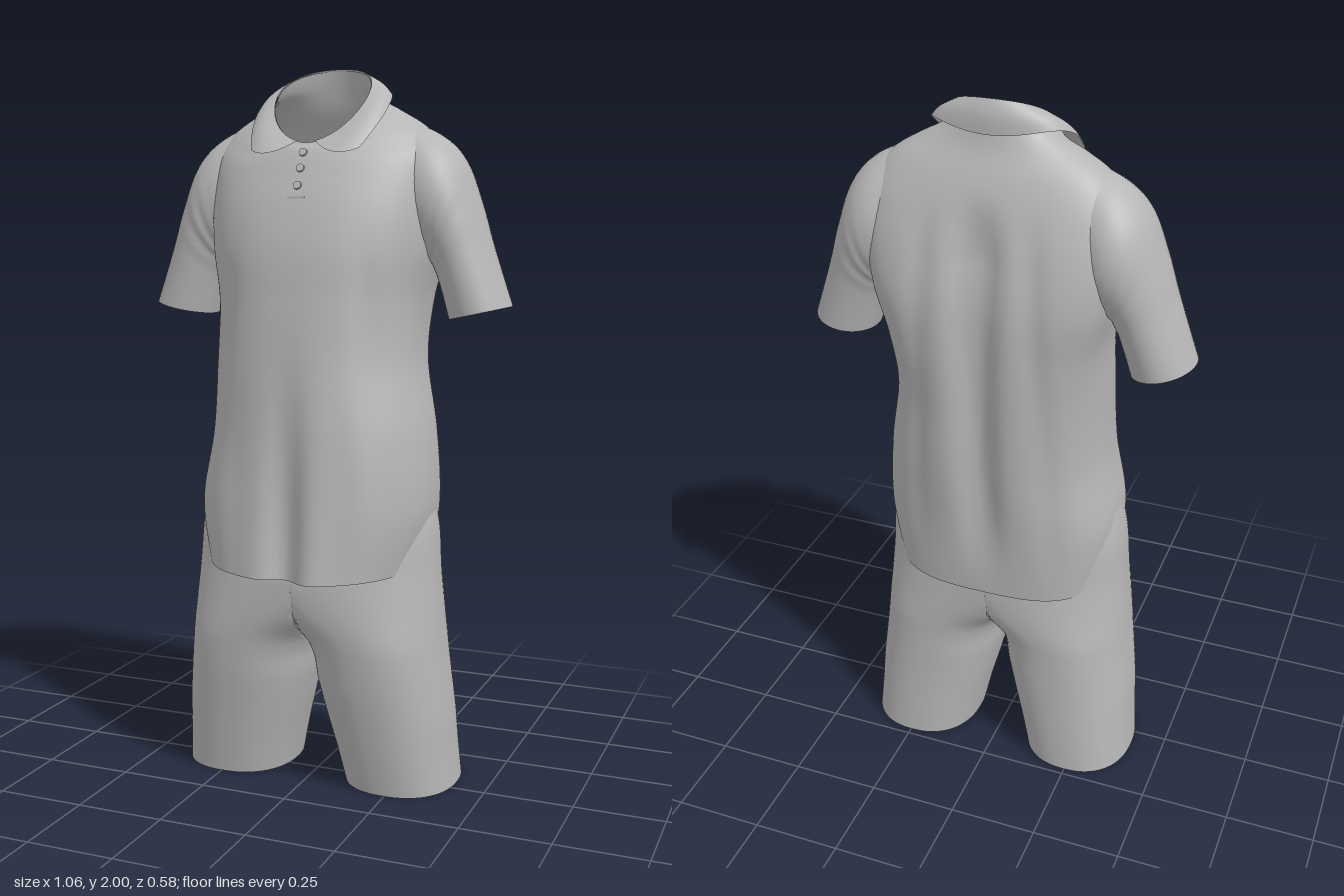
import * as THREE from 'three';
import { mergeGeometries, mergeVertices } from 'three/addons/utils/BufferGeometryUtils.js';

const cloth = new THREE.MeshStandardMaterial({ color: 0xb6b6b6, side: THREE.DoubleSide });
cloth.name = 'grey cloth';

// Smooth interpolation of section parameters, u in 0..1
function sample(sections, u) {
  const f = u * (sections.length - 1);
  const i = Math.min(Math.floor(f), sections.length - 2), t = f - i;
  const at = k => sections[Math.min(Math.max(k, 0), sections.length - 1)];
  return at(i).map((p1, k) => {
    const p0 = at(i - 1)[k], p2 = at(i + 1)[k], p3 = at(i + 2)[k];
    return p1 + 0.5 * t * (p2 - p0 + t * (2 * p0 - 5 * p1 + 4 * p2 - p3 + t * (3 * (p1 - p2) + p3 - p0)));
  });
}

// Surface from point(u, v); rows run upwards, columns run from front towards +x
function surface(rows, cols, closed, point, skip = () => false) {
  const pos = [], idx = [], n = closed ? cols : cols + 1;
  for (let i = 0; i <= rows; i++)
    for (let j = 0; j < n; j++) pos.push(...point(i / rows, j / cols));
  const tri = (...t) => { if (!skip(t.map(k => pos[3 * k]))) idx.push(...t); };
  for (let i = 0; i < rows; i++)
    for (let j = 0; j < cols; j++) {
      const a = i * n + j, b = i * n + (j + 1) % n;
      tri(a, b, a + n);
      tri(b, b + n, a + n);
    }
  const g = new THREE.BufferGeometry();
  g.setAttribute('position', new THREE.Float32BufferAttribute(pos, 3));
  g.setIndex(idx);
  g.computeVertexNormals();
  return g;
}

const power = (v, n) => Math.sign(v) * Math.abs(v) ** (2 / n);
const blend = (front, side, back, c) => side + (front - back) / 2 * c + ((front + back) / 2 - side) * c * c;
const smooth = THREE.MathUtils.smoothstep;
const bell = (x, w) => Math.exp(-((x / w) ** 2));

// Shirt rings: yFront, ySide, yBack, centreX, halfWidth, zFront, zSide, zBack, front and back roundness
const shirtRings = [
  [0.62, 0.63, 0.60, 0.00, 0.305, 0.300, 0.00, -0.237, 2.3, 3.0],
  [0.80, 0.80, 0.80, 0.005, 0.334, 0.278, 0.00, -0.255, 2.3, 2.7],
  [1.00, 1.00, 1.00, 0.015, 0.312, 0.255, -0.01, -0.280, 2.3, 2.5],
  [1.20, 1.20, 1.20, 0.00, 0.290, 0.232, -0.03, -0.293, 2.3, 2.6],
  [1.36, 1.36, 1.36, 0.00, 0.293, 0.214, -0.06, -0.297, 2.4, 3.0],
  [1.50, 1.50, 1.50, 0.00, 0.322, 0.197, -0.08, -0.292, 2.4, 3.4],
  [1.62, 1.62, 1.62, 0.00, 0.334, 0.165, -0.09, -0.272, 2.4, 3.4],
  [1.71, 1.75, 1.72, 0.00, 0.330, 0.128, -0.09, -0.244, 2.2, 2.8],
  [1.75, 1.822, 1.81, 0.00, 0.288, 0.110, -0.08, -0.210, 2, 2.3],
  [1.77, 1.866, 1.88, 0.00, 0.215, 0.098, -0.06, -0.178, 2, 2],
  [1.78, 1.888, 1.94, 0.00, 0.155, 0.088, -0.04, -0.163, 2, 2],
  [1.787, 1.92, 1.995, 0.00, 0.133, 0.082, -0.035, -0.153, 2, 2],
];

function shirtPoint(u, v) {
  const [yF, yS, yB, cx, rx, zF, zS, zB, nF, nB] = sample(shirtRings, u);
  const a = v * 2 * Math.PI, n = Math.cos(a) > 0 ? nF : nB;
  const c = power(Math.cos(a), n), s = power(Math.sin(a), n);
  const x = cx + rx * s, y = blend(yF, yS, yB, c);
  let z = blend(zF, zS, zB, c);
  if (c > 0) {
    // Hanging folds at the front, a little shallower on the right
    const hang = 1 - smooth(y, 0.65, 1.35);
    z -= c * hang * (0.05 * bell(x, 0.055) + 0.02 * smooth(-x, 0, 0.1) + 0.003 * Math.sin(42 * x + 1.5 * y));
    z -= c * 0.012 * bell(Math.abs(x) - 0.2 - 0.1 * (1.4 - y), 0.03) * bell(y - 1.2, 0.25);
  } else {
    // Groove along the spine with softer folds beside it
    const spine = smooth(y, 0.6, 1.0) * (1 - smooth(y, 1.6, 1.8));
    z -= c * spine * (0.048 * bell(x, 0.05) + 0.01 * bell(Math.abs(x) - 0.17 + 0.06 * (y - 1.2), 0.035));
  }
  return [x, y, z];
}

// Sleeve rings from cuff to shoulder: outerX, outerY, innerX, innerY, zCentre, zHalf
const sleeveRings = [
  [0.530, 1.350, 0.360, 1.312, -0.082, 0.108],
  [0.474, 1.510, 0.335, 1.400, -0.086, 0.116],
  [0.436, 1.630, 0.315, 1.450, -0.090, 0.126],
  [0.390, 1.742, 0.298, 1.470, -0.094, 0.138],
  [0.328, 1.806, 0.270, 1.490, -0.095, 0.138],
  [0.235, 1.850, 0.235, 1.530, -0.090, 0.110],
];

function sleeve(side) {
  return surface(30, 48, true, (u, v) => {
    const [ox, oy, ix, iy, zc, zh] = sample(sleeveRings, u);
    const a = side * v * 2 * Math.PI, s = (1 + Math.sin(a)) / 2, c = Math.cos(a);
    // Small creases gather near the armpit
    const crease = 1 + 0.03 * Math.sin(u * 40) * bell(u - 0.5, 0.2) * (1 - s);
    return [side * (ix + (ox - ix) * s), iy + (oy - iy) * s, zc + zh * c * crease];
  });
}

// Leg rings, hem to waist: y, centreX, halfWidth, zFront, zBack
const legRings = [
  [0.00, 0.247, 0.160, 0.130, -0.230],
  [0.10, 0.232, 0.167, 0.148, -0.228],
  [0.20, 0.216, 0.177, 0.165, -0.225],
  [0.30, 0.199, 0.183, 0.182, -0.224],
  [0.38, 0.188, 0.185, 0.192, -0.224],
  [0.44, 0.165, 0.203, 0.198, -0.226],
  [0.52, 0.095, 0.267, 0.203, -0.228],
  [0.62, 0.020, 0.334, 0.203, -0.229],
  [0.74, 0.000, 0.346, 0.190, -0.225],
  [0.85, 0.000, 0.322, 0.170, -0.210],
];

// One half of the shorts; above the crotch it stops at the centre line
function shortsHalf(side) {
  return surface(45, 80, true, (u, v) => {
    const [y, cx, rx, zF, zB] = sample(legRings, u);
    const a = side * v * 2 * Math.PI;
    const x = cx + rx * power(Math.sin(a), 2.3), c = power(Math.cos(a), 2.3);
    return [side * (x < 1e-5 ? 0 : x), y, (zF + zB) / 2 + (zF - zB) / 2 * c];
  }, xs => xs.every(x => Math.abs(x) < 1e-5));
}

// Folded collar: inner top edge rolling over to a flap with two pointed tips
function collarPoint(u, v) {
  const f = 1 - u;
  const start = THREE.MathUtils.lerp(0.2, 0.95, f);
  const t = start + v * (2 * Math.PI - 2 * start);
  const c = Math.cos(t), s = Math.sin(t);
  const lift = 0.006 * Math.sin(Math.PI * f);
  const mix = (a, b) => a + (b - a) * f;
  return [
    s * (mix(0.135, 0.192) + lift),
    blend(mix(1.789, 1.64), mix(1.922, 1.886), mix(2.0, 1.915), c) + lift,
    blend(mix(0.087, 0.22), -0.035, mix(-0.155, -0.172), c) + lift * c,
  ];
}

export function createModel() {
  const model = new THREE.Group();
  const add = (name, geometry) => {
    const mesh = new THREE.Mesh(geometry, cloth);
    mesh.name = name;
    model.add(mesh);
    return mesh;
  };

  add('shirtBody', surface(110, 140, true, shirtPoint));
  add('collar', surface(12, 80, false, collarPoint));
  add('leftSleeve', sleeve(1));
  add('rightSleeve', sleeve(-1));

  const shorts = mergeVertices(mergeGeometries([shortsHalf(1), shortsHalf(-1)]).deleteAttribute('normal'), 1e-5);
  shorts.computeVertexNormals();
  add('shorts', shorts);

  // Buttons and the stitch that closes the placket
  for (const [y, z] of [[1.76, 0.106], [1.718, 0.125], [1.672, 0.145]]) {
    const button = add('button', new THREE.CylinderGeometry(0.011, 0.012, 0.009, 20));
    button.position.set(0, y, z);
    button.rotation.x = 1.15;
  }
  const stitch = add('placketStitch', new THREE.BoxGeometry(0.05, 0.006, 0.006));
  stitch.position.set(0, 1.64, 0.156);
  return model;
}
